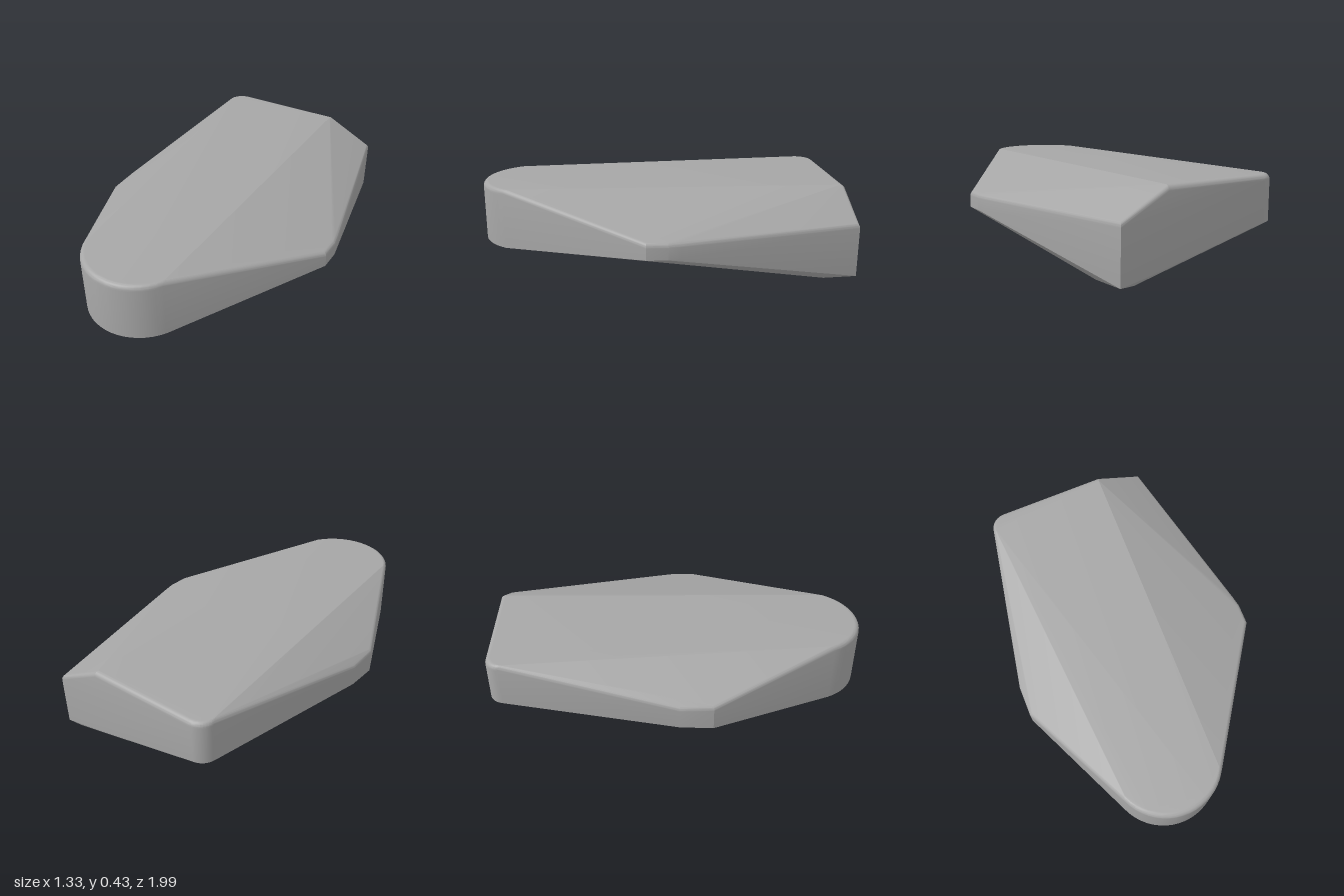
import * as THREE from 'three';
import { ConvexGeometry } from 'three/addons/geometries/ConvexGeometry.js';
import { toCreasedNormals } from 'three/addons/utils/BufferGeometryUtils.js';

const BEVEL = 0.028;
const BEVEL_STEPS = 7;

// Points along an arc in plan, as [x, z]; angles in degrees from +x toward +z
function arc(cx, cz, radius, from, to, steps) {
  return Array.from({ length: steps + 1 }, (_, i) => {
    const a = THREE.MathUtils.degToRad(from + (to - from) * i / steps);
    return [cx + radius * Math.cos(a), cz + radius * Math.sin(a)];
  });
}

export function createModel() {
  const stone = new THREE.MeshStandardMaterial({ color: 0xa6a6a6 });
  stone.name = 'stone grey';

  // Plan outline: [x, z, bottom height, top height]
  const outline = [
    ...arc(-0.1, 0.7, 0.295, 34, 157, 18).map(([x, z]) => [x, z, 0.1, 0.43]), // round nose
    [-0.665, 0.17, 0.155, 0.295], [-0.665, 0, 0.165, 0.295],                  // shoulder at -x
    ...arc(-0.395, -0.89, 0.09, 190, 268, 9).map(([x, z]) => [x, z, 0.195, 0.43]), // rounded back corner
    [0.2, -0.993, 0.05, 0.43],                                               // end of the top crease
    [0.46, -1, 0, 0.295],                                                     // low back corner
    [0.655, -0.04, 0.205, 0.295], [0.665, 0.02, 0.205, 0.295], [0.66, 0.13, 0.205, 0.295], // shoulder at +x
  ];

  // Walls with a small rounded rim along the upper edge
  const points = [];
  for (const [x, z, bottom, top] of outline) {
    points.push(new THREE.Vector3(x, bottom, z));
    const length = Math.hypot(x, z);
    for (let i = 0; i <= BEVEL_STEPS; i++) {
      const a = Math.PI / 2 * i / BEVEL_STEPS;
      const scale = 1 - BEVEL * (1 - Math.cos(a)) / length;
      points.push(new THREE.Vector3(x * scale, top - BEVEL * (1 - Math.sin(a)), z * scale));
    }
  }
  // Small flat foot beside the low back corner
  points.push(new THREE.Vector3(0.38, 0, -0.99), new THREE.Vector3(0.47, 0, -0.82));

  const slab = new THREE.Mesh(toCreasedNormals(new ConvexGeometry(points), 0.26), stone);
  slab.name = 'stoneSlab';

  const group = new THREE.Group();
  group.name = 'facetedStone';
  group.add(slab);
  return group;
}
